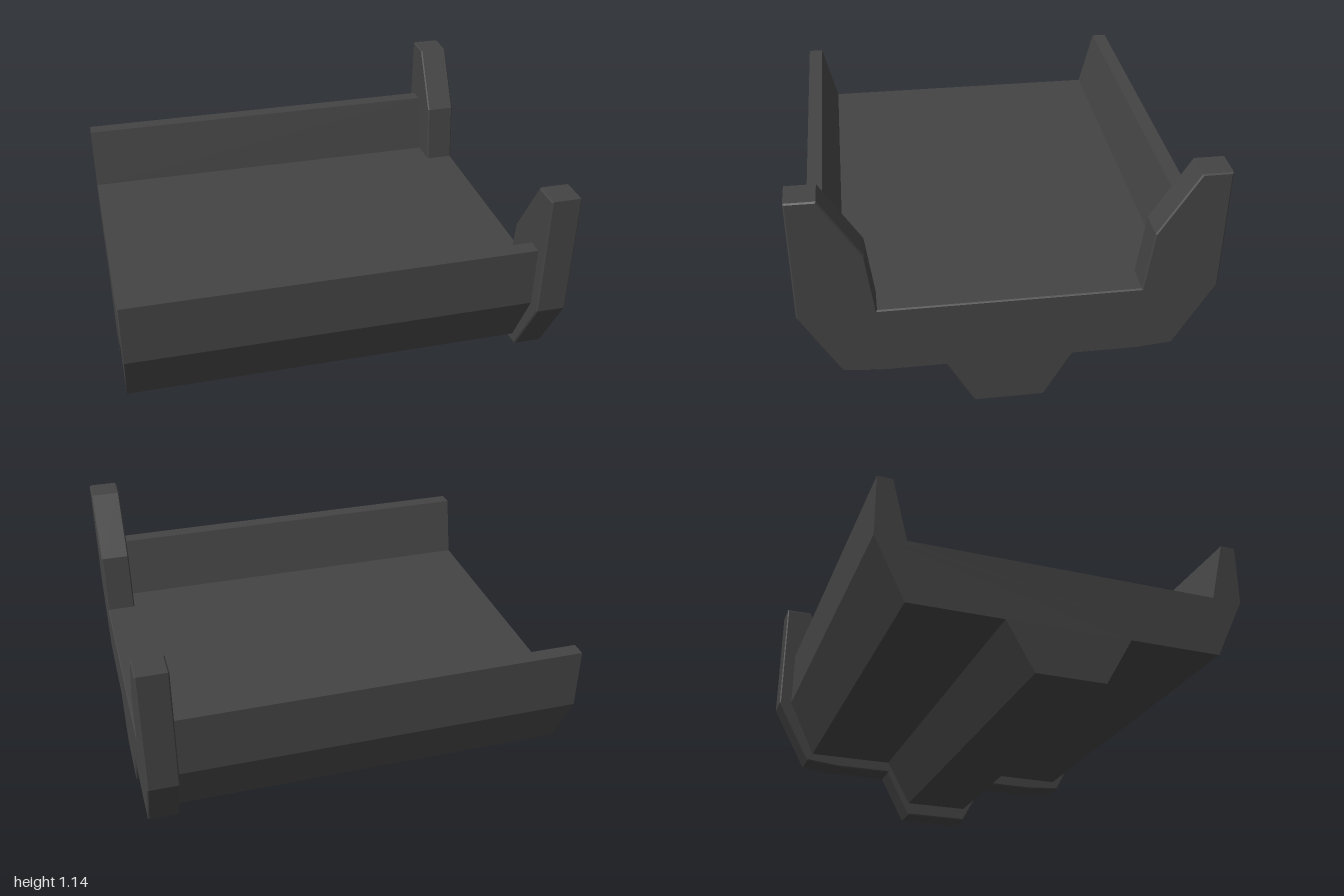
import * as THREE from 'three';

// Extrude a symmetric cross-section (half profile of [z, y]) along x
function channel(name, half, x0, x1, bevel, material) {
  const mirrored = half.map(([z, y]) => [-z, y]).reverse();
  const shape = new THREE.Shape([...half, ...mirrored].map(([z, y]) => new THREE.Vector2(z, y)));
  const geometry = new THREE.ExtrudeGeometry(shape, {
    depth: x1 - x0 - 2 * bevel,
    bevelEnabled: bevel > 0,
    bevelSize: bevel,
    bevelThickness: bevel,
    bevelOffset: -bevel,
    bevelSegments: 1,
  });
  geometry.rotateY(Math.PI / 2);
  geometry.translate(x0 + bevel, 0, 0);
  const mesh = new THREE.Mesh(geometry, material);
  mesh.name = name;
  return mesh;
}

export function createModel() {
  const group = new THREE.Group();
  group.name = 'channelSection';
  const material = new THREE.MeshStandardMaterial({ color: 0x444444, flatShading: true });

  // Long trough: keel, stepped underside, low side walls, flat floor
  const trough = [
    [0.16, 0.065], [0.287, 0.287], [0.715, 0.287], [0.855, 0.572],
    [0.855, 0.858], [0.785, 0.858], [0.715, 0.572],
  ];
  group.add(channel('trough', trough, -1, 0.87, 0, material));

  // Taller end frame with upright horns, edges slightly bevelled
  const frame = [
    [0.16, 0], [0.285, 0.232], [0.575, 0.232], [0.742, 0.248], [0.918, 0.565],
    [0.918, 1.145], [0.787, 1.145], [0.613, 0.86], [0.577, 0.572],
  ];
  group.add(channel('endFrame', frame, 0.86, 1, 0.006, material));

  return group;
}
